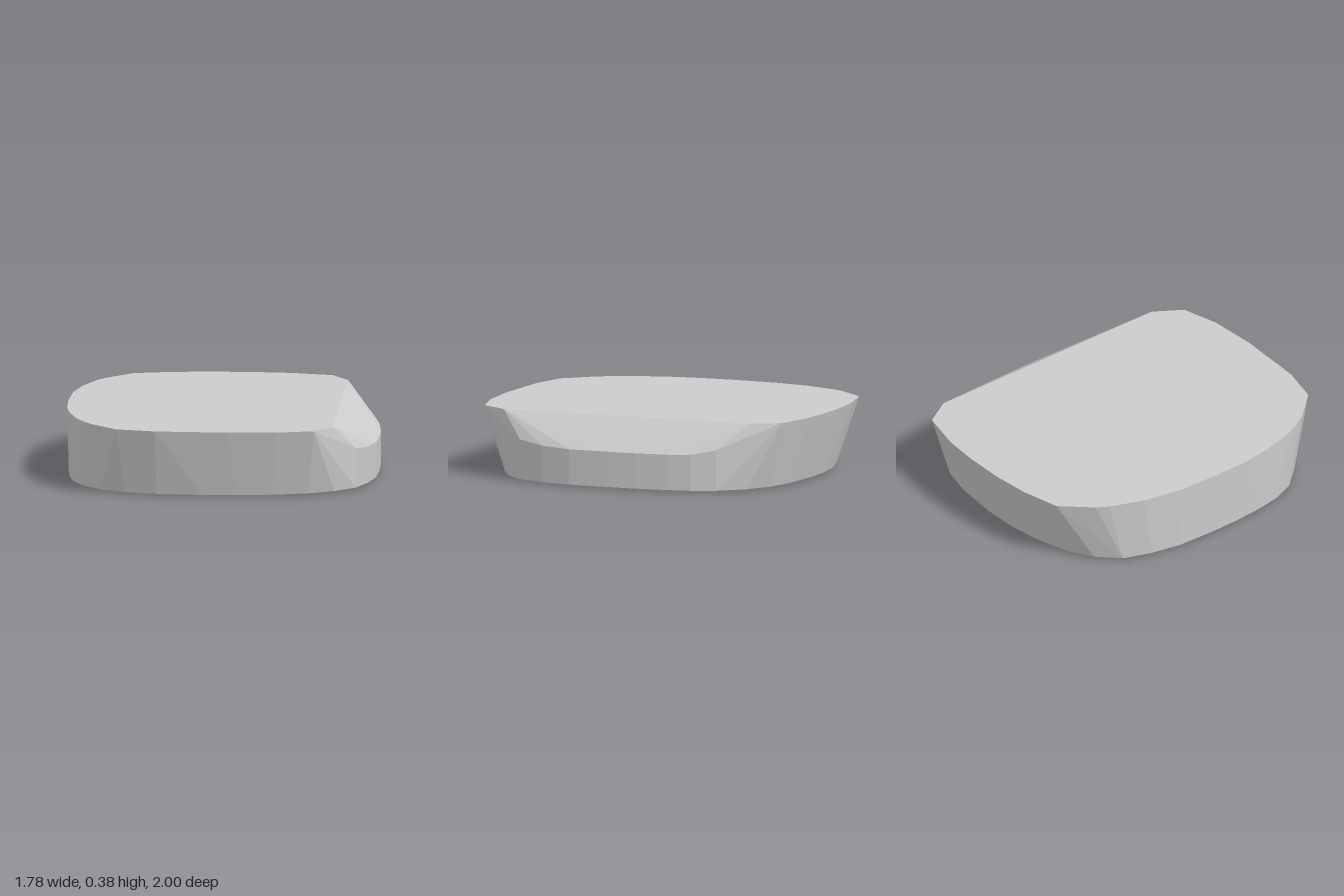
import * as THREE from 'three';
import { ConvexGeometry } from 'three/addons/geometries/ConvexGeometry.js';

const ring = (points, y, s = 1) => points.map(([x, z]) => new THREE.Vector3(x * s, y, z * s));

export function createModel() {
  const group = new THREE.Group();
  group.name = 'facetedSlab';

  // Top outline [x, z], cut straight along the chamfered side
  const top = [
    [-0.43, -0.98], [-0.2, -1], [0.02, -0.99], [0.25, -0.957], [0.45, -0.912], [0.68, -0.82],
    [0.75, -0.65], [0.54, 0.83], [0.42, 0.97], [0.2, 0.995], [-0.07, 0.975], [-0.47, 0.9],
    [-0.68, 0.815], [-0.8, 0.64], [-0.84, 0.55], [-0.87, 0.45], [-0.895, 0.25], [-0.895, 0.1],
    [-0.87, -0.13], [-0.82, -0.4], [-0.75, -0.6], [-0.65, -0.78], [-0.6, -0.84],
  ];

  // Lower edge of the chamfer [x, y, z]
  const chamferEdge = [
    [0.68, 0.235, 0.7], [0.76, 0.215, 0.55], [0.82, 0.21, 0.38], [0.86, 0.21, 0.15],
    [0.88, 0.21, -0.02], [0.89, 0.21, -0.2], [0.885, 0.212, -0.34], [0.85, 0.24, -0.48],
  ].map((p) => new THREE.Vector3(...p));

  // Half of the base outline, repeated by a half turn
  const half = [
    [0.68, 0.7], [0.55, 0.8], [0.4, 0.86], [0.2, 0.89], [0, 0.89], [-0.2, 0.865], [-0.45, 0.805],
    [-0.62, 0.735], [-0.75, 0.63], [-0.85, 0.48], [-0.885, 0.34], [-0.89, 0.2], [-0.88, 0.02],
    [-0.86, -0.15], [-0.82, -0.38], [-0.76, -0.55],
  ];
  const base = [...half, ...half.map(([x, z]) => [-x, -z])];

  // Solid body with a tiny bevel around the underside
  const geometry = new ConvexGeometry([
    ...ring(top, 0.382), ...chamferEdge, ...ring(base, 0.01), ...ring(base, 0, 0.98),
  ]);
  const body = new THREE.Mesh(
    geometry,
    new THREE.MeshStandardMaterial({ color: 0xcccccc, flatShading: true }),
  );
  body.name = 'slabBody';
  group.add(body);
  return group;
}
